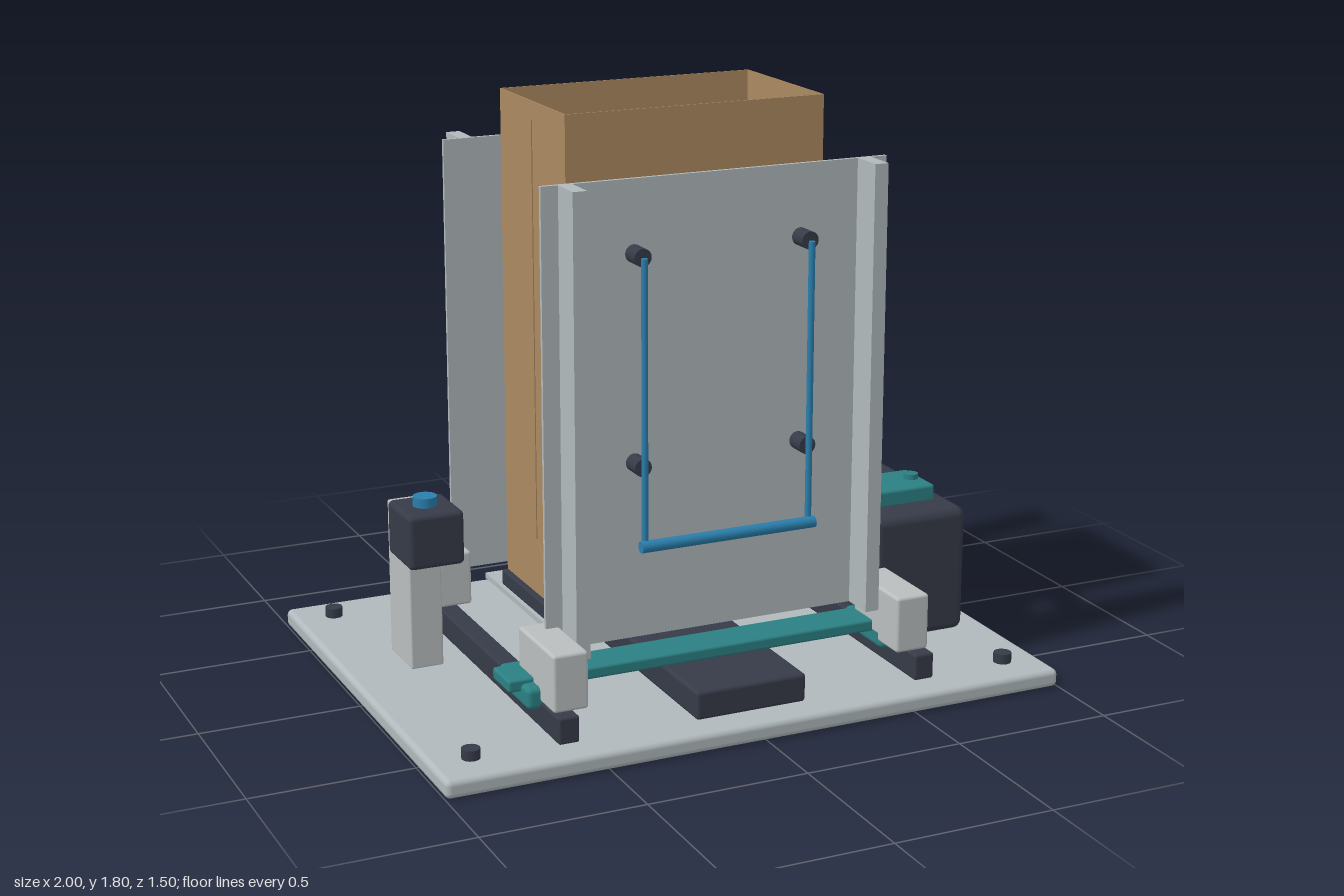
import * as THREE from 'three';
import { RoundedBoxGeometry } from 'three/addons/geometries/RoundedBoxGeometry.js';

const material = (name, color, extra = {}) => {
  const m = new THREE.MeshStandardMaterial({ color, ...extra });
  m.name = name;
  return m;
};

export function createModel() {
  const model = new THREE.Group();
  model.name = 'bagClampingMachine';

  const steel = material('steel', 0xb0b9bc);
  const lightSteel = material('lightSteel', 0xbabebf);
  const dark = material('darkHousing', 0x363b48);
  const teal = material('teal', 0x2b8083);
  const blue = material('blue', 0x2a7fad);
  const cream = material('creamRubber', 0xdedbcf);
  const paper = material('kraftPaper', 0xab8960, { side: THREE.DoubleSide });

  const add = (name, geometry, mat, parent = model) => {
    const mesh = new THREE.Mesh(geometry, mat);
    mesh.name = name;
    parent.add(mesh);
    return mesh;
  };
  // Box given by its limits; r rounds the edges
  const box = (name, mat, [x0, x1], [y0, y1], [z0, z1], r = 0, parent = model) => {
    const size = [x1 - x0, y1 - y0, z1 - z0];
    const g = r ? new RoundedBoxGeometry(...size, 3, r) : new THREE.BoxGeometry(...size);
    g.translate((x0 + x1) / 2, (y0 + y1) / 2, (z0 + z1) / 2);
    return add(name, g, mat, parent);
  };
  // Cylinder between two points
  const rod = (name, mat, a, b, r, sides = 20, parent = model) => {
    const p = new THREE.Vector3(...a), q = new THREE.Vector3(...b);
    const mesh = add(name, new THREE.CylinderGeometry(r, r, p.distanceTo(q), sides), mat, parent);
    mesh.position.copy(p).add(q).multiplyScalar(0.5);
    mesh.quaternion.setFromUnitVectors(new THREE.Vector3(0, 1, 0), q.sub(p).normalize());
    return mesh;
  };

  // Base plate with corner bolts, centre channel and bag platform
  box('basePlate', steel, [-1, 1], [0, 0.057], [-0.75, 0.75], 0.018);
  for (const x of [-0.877, 0.877]) for (const z of [-0.625, 0.62])
    rod('cornerBolt', dark, [x, 0.05, z], [x, 0.088, z], 0.028, 12);
  box('centreChannel', dark, [-0.182, 0.178], [0.055, 0.145], [-0.655, 0.648], 0.012);
  box('bagPlatform', steel, [-0.475, 0.47], [0.233, 0.25], [-0.3, 0.295]);

  // Slide rails and dark guide bars on the platform
  for (const s of [-1, 1]) {
    const span = (a, b) => (s > 0 ? [a, b] : [-b, -a]);
    box('slideRail', dark, span(0.552, 0.617), [0.055, 0.138], [-0.65, 0.645], 0.008);
    box('guideBar', dark, span(0.443, 0.465), [0.25, 0.3], [-0.18, 0.172], 0.006);
  }

  // Open paper bag with folded sides
  const bag = new THREE.Group();
  bag.name = 'paperBag';
  model.add(bag);
  const w = 0.417, d = 0.252, t = 0.004;
  box('bagBottom', paper, [-w, w], [0.25, 0.256], [-d, d], 0, bag);
  for (const s of [-1, 1]) {
    const panel = (e) => (s > 0 ? [e - t, e] : [-e, t - e]);
    box('bagPanel', paper, [-w, w], [0.25, 1.803], panel(d), 0, bag);
    box('bagSide', paper, panel(w), [0.25, 1.803], [-d, d], 0, bag);
    box('bagSideCrease', paper, panel(w + 0.003), [0.45, 1.745], [-0.002, 0.002], 0, bag);
    // Triangular bottom fold
    const fold = new THREE.Shape([[-0.24, 0], [0.24, 0], [0, 0.2]].map((p) => new THREE.Vector2(...p)));
    const mesh = add('bagFold', new THREE.ExtrudeGeometry(fold, { depth: 0.003, bevelEnabled: false }), paper, bag);
    mesh.rotation.y = s * Math.PI / 2;
    mesh.position.set(s * w, 0.25, 0);
  }

  // Bellows suction cup, from plate (0) to bag (0.135)
  const cupGeometry = new THREE.LatheGeometry([
    [0.001, 0], [0.02, 0], [0.026, 0.02], [0.04, 0.03], [0.028, 0.042], [0.047, 0.055],
    [0.03, 0.067], [0.052, 0.082], [0.034, 0.094], [0.04, 0.105], [0.052, 0.135], [0.001, 0.135],
  ].reverse().map(([r, y]) => new THREE.Vector2(r, -y)).reverse(), 28);
  cream.side = THREE.DoubleSide;

  // Two facing clamp plates; the second is turned half round
  for (const s of [1, -1]) {
    const clamp = new THREE.Group();
    clamp.name = s > 0 ? 'frontClamp' : 'backClamp';
    clamp.rotation.y = s > 0 ? 0 : Math.PI;
    model.add(clamp);
    box('clampPlate', steel, [-0.553, 0.553], [0.245, 1.633], [0.385, 0.397], 0, clamp);
    for (const m of [-1, 1]) {
      const span = (a, b) => (m > 0 ? [a, b] : [-b, -a]);
      box('stiffeningRib', steel, span(0.456, 0.5), [0.245, 1.633], [0.395, 0.503], 0, clamp);
      box('carriageBlock', lightSteel, span(0.507, 0.617), [0.138, 0.315], [0.338, 0.608], 0.01, clamp);
      for (const y of [0.79, 1.415]) {
        const cup = add('suctionCup', cupGeometry, cream, clamp);
        cup.rotation.x = Math.PI / 2;
        cup.position.set(m * 0.268, y, 0.387);
        rod('cupFitting', dark, [m * 0.268, y, 0.39], [m * 0.268, y, 0.462], 0.027, 20, clamp);
      }
      rod('vacuumHose', blue, [m * 0.268, 1.415, 0.472], [m * 0.268, 0.555, 0.472], 0.01, 14, clamp);
    }
    rod('vacuumManifold', blue, [-0.285, 0.555, 0.48], [0.285, 0.555, 0.48], 0.018, 18, clamp);
  }

  // Teal drive bar with end shoes
  box('driveBar', teal, [-0.695, 0.69], [0.158, 0.195], [0.325, 0.455], 0.008);
  box('driveShoe', teal, [-0.657, -0.51], [0.115, 0.182], [0.272, 0.508], 0.016);
  box('driveShoe', teal, [0.507, 0.65], [0.115, 0.182], [0.272, 0.508], 0.016);

  // Pump housing with two lidded valves
  box('pumpHousing', dark, [0.583, 0.912], [0.058, 0.467], [-0.612, 0.33], 0.03);
  for (const z of [0.125, -0.268]) {
    box('valveCover', teal, [0.63, 0.86], [0.455, 0.515], [z - 0.09, z + 0.09], 0.01);
    rod('valveKnob', teal, [0.823, 0.51, z], [0.823, 0.532, z], 0.023);
    rod('hosePort', blue, [0.55, 0.3, z], [0.59, 0.3, z], 0.012, 12);
  }

  // Control post with push button
  box('controlPost', lightSteel, [-0.805, -0.7], [0.055, 0.55], [-0.27, -0.08], 0.006);
  box('controlBox', dark, [-0.842, -0.665], [0.417, 0.587], [-0.16, 0.037], 0.016);
  rod('pushButton', blue, [-0.755, 0.58, -0.062], [-0.755, 0.617, -0.062], 0.037, 24);

  return model;
}
